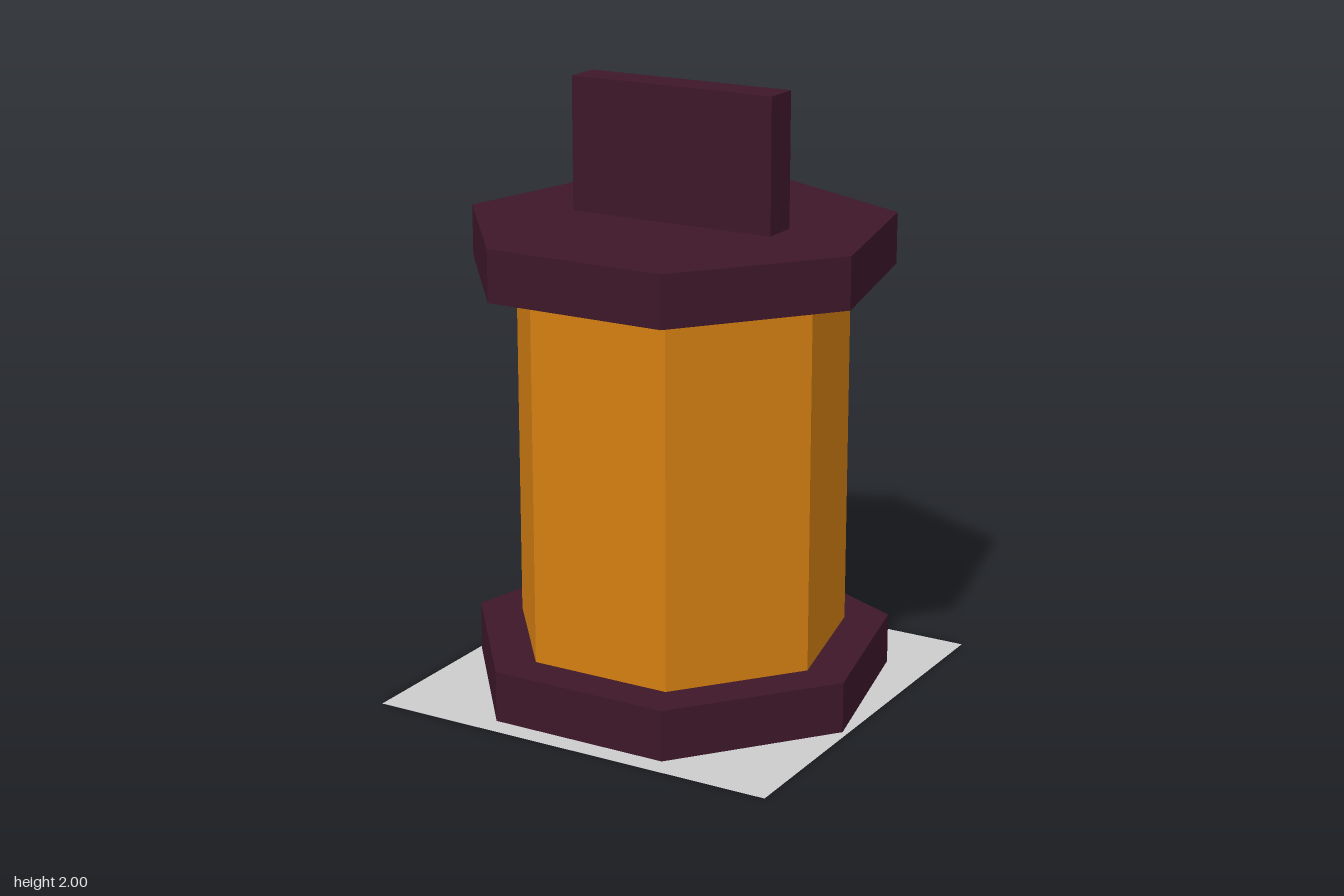
import * as THREE from 'three';

const RADIUS = 0.71;

export function createModel() {
  const group = new THREE.Group();
  const plum = new THREE.MeshStandardMaterial({ color: 0x3d1729, flatShading: true });
  const amber = new THREE.MeshStandardMaterial({ color: 0xd47f12, flatShading: true });
  const grey = new THREE.MeshStandardMaterial({ color: 0xcccccc, side: THREE.DoubleSide });

  const add = (name, geometry, material) => {
    const mesh = new THREE.Mesh(geometry, material);
    mesh.name = name;
    group.add(mesh);
  };

  // Seven-sided prism between two heights, one corner pointing to the back
  const prism = (radius, bottom, top) =>
    new THREE.CylinderGeometry(radius, radius, top - bottom, 7, 1, false, Math.PI)
      .translate(0, (bottom + top) / 2, 0);

  // Thin square sheet beneath the lantern
  add('groundSheet', new THREE.PlaneGeometry(2 * RADIUS, 2 * RADIUS).rotateX(-Math.PI / 2), grey);

  // Base, glowing body and lid (base sits a hair above the sheet)
  add('base', prism(RADIUS, 0.001, 0.17), plum);
  add('body', prism(0.56, 0.17, 1.39), amber);
  add('lid', prism(RADIUS, 1.39, 1.56), plum);

  // Upright slab handle
  add('handle', new THREE.BoxGeometry(0.725, 0.44, 0.125).translate(-0.001, 1.78, -0.002), plum);

  return group;
}
